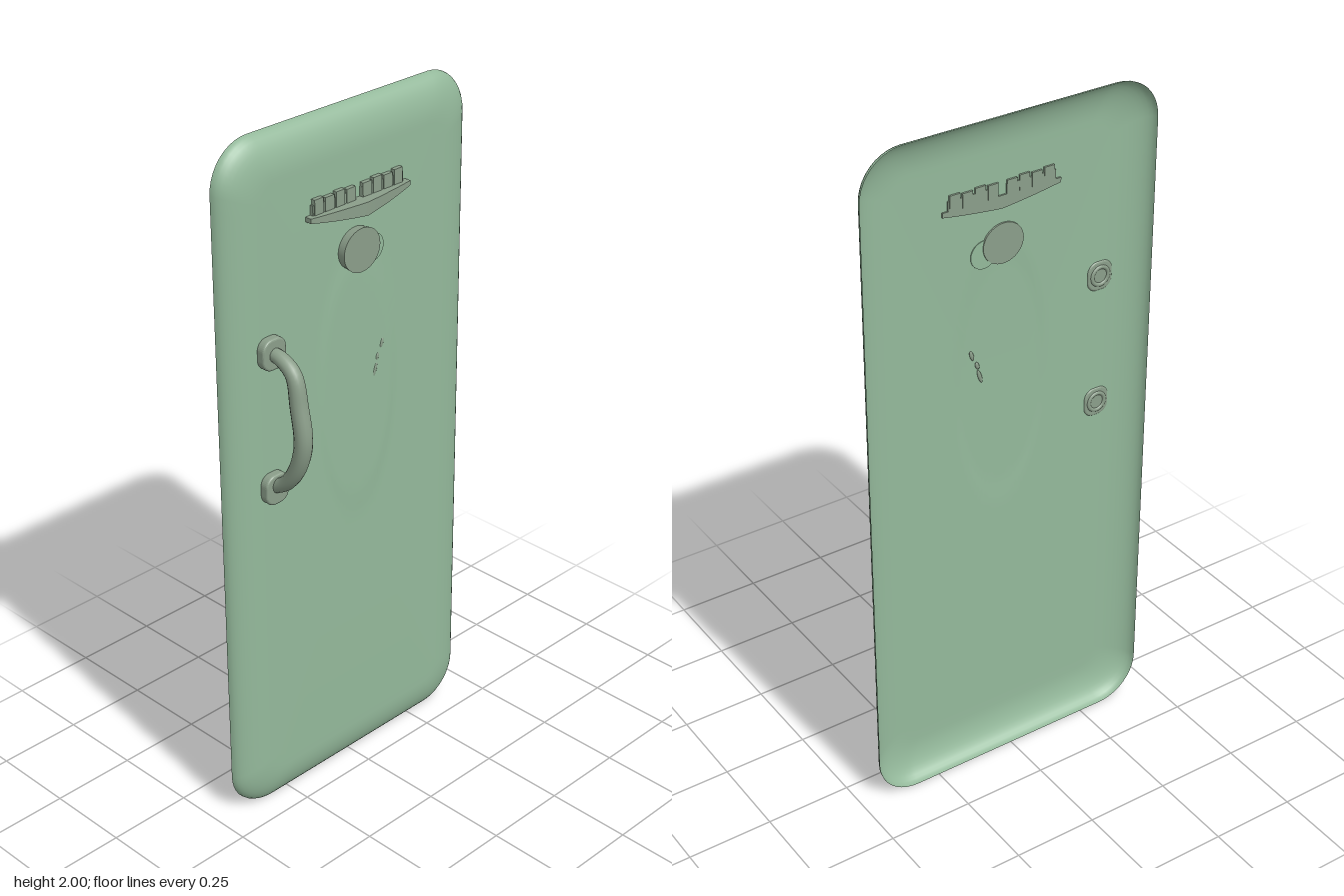
import * as THREE from 'three';

const doorGreen = new THREE.MeshStandardMaterial({ color: 0x94b99b, side: THREE.DoubleSide });
doorGreen.name = 'door green';
const trimGrey = new THREE.MeshStandardMaterial({ color: 0x8b9e8a });
trimGrey.name = 'trim grey green';

function add(parent, name, geometry, material, x = 0, y = 0, z = 0) {
  const mesh = new THREE.Mesh(geometry, material);
  mesh.name = name;
  mesh.position.set(x, y, z);
  parent.add(mesh);
  return mesh;
}

// Rounded rectangle outline, counter-clockwise, always the same point count
function outline(hw, hh, r) {
  const pts = [], arc = 10;
  const corners = [[1, 1], [-1, 1], [-1, -1], [1, -1]];
  corners.forEach(([sx, sy], k) => {
    const cx = sx * (hw - r), cy = sy * (hh - r);
    for (let i = 0; i <= arc; i++) {
      const a = (k + i / arc) * Math.PI / 2;
      pts.push([cx + r * Math.cos(a), cy + r * Math.sin(a)]);
    }
    // subdivide the straight edge to the next corner
    const [nx, ny] = corners[(k + 1) % 4];
    const a = (k + 1) * Math.PI / 2;
    const end = [nx * (hw - r) + r * Math.cos(a), ny * (hh - r) + r * Math.sin(a)];
    const start = pts[pts.length - 1], n = k % 2 ? 44 : 20;
    for (let i = 1; i < n; i++) {
      const t = i / n;
      pts.push([start[0] + (end[0] - start[0]) * t, start[1] + (end[1] - start[1]) * t]);
    }
  });
  return pts;
}

// Faint raised oval pressed into the front panel
function relief(x, y) {
  const r = Math.hypot(x / 0.145, (y - 0.23) / 0.39);
  return 0.003 * (1 - THREE.MathUtils.smoothstep(r, 0.86, 1.04));
}

// Hollow door skin: curved rim rings, then rings closing the front panel
function doorGeometry() {
  const pos = [], index = [], rings = [];
  const rim = 10, cap = 30, inset = 0.115, depth = 0.055;
  for (let i = 0; i <= rim; i++) {
    const a = i / rim * Math.PI / 2;
    const d = inset * (1 - Math.cos(a));
    const z = -0.1 + depth * Math.sin(a);
    rings.push(outline(0.445 - d, 1 - d, 0.125 - d * 0.6).map(([x, y]) => [x, y, z]));
  }
  const last = rings[rim];
  for (let i = 1; i <= cap; i++) {
    const s = 1 - i / cap;
    const z = -0.1 + depth + 0.003 * (1 - s * s);
    rings.push(last.map(([x, y]) => [x * s, y * s, z + relief(x * s, y * s)]));
  }
  const n = last.length;
  rings.forEach(ring => ring.forEach(([x, y, z]) => pos.push(x, y + 1, z)));
  for (let i = 0; i < rings.length - 1; i++) {
    for (let j = 0; j < n; j++) {
      const k = (j + 1) % n;
      const a = i * n + j, b = i * n + k, c = b + n, d = a + n;
      index.push(a, b, c);
      if (i < rings.length - 2) index.push(a, c, d);
    }
  }
  const g = new THREE.BufferGeometry();
  g.setAttribute('position', new THREE.Float32BufferAttribute(pos, 3));
  g.setIndex(index);
  g.computeVertexNormals();
  return g;
}

// Tube that is thickest at the middle of its path
function gripGeometry(points) {
  const curve = new THREE.CatmullRomCurve3(points.map(([y, z]) => new THREE.Vector3(0, y, z)));
  const n = 48, radial = 16;
  const g = new THREE.TubeGeometry(curve, n, 0.025, radial);
  const p = g.attributes.position, v = new THREE.Vector3();
  for (let i = 0; i <= n; i++) {
    const c = curve.getPointAt(i / n);
    const s = 0.76 + 0.24 * Math.sin(Math.PI * i / n);
    for (let j = 0; j <= radial; j++) {
      const k = i * (radial + 1) + j;
      v.fromBufferAttribute(p, k).sub(c).multiplyScalar(s).add(c);
      p.setXYZ(k, v.x, v.y, v.z);
    }
  }
  g.computeVertexNormals();
  return g;
}

// Rounded mounting pad with a softened front edge
function padGeometry() {
  const shape = new THREE.Shape(outline(0.034, 0.038, 0.025).map(([x, y]) => new THREE.Vector2(x, y)));
  return new THREE.ExtrudeGeometry(shape, {
    depth: 0.016, bevelEnabled: true, bevelThickness: 0.006, bevelSize: 0.006, bevelSegments: 3,
  });
}

// Badge bar: a shallow wing deepest at its centre
function wingGeometry() {
  const g = new THREE.BoxGeometry(0.36, 1, 1, 32, 1, 1);
  const p = g.attributes.position;
  for (let i = 0; i < p.count; i++) {
    const x = p.getX(i), t = 1 - Math.abs(x) / 0.18;
    const soft = t * (1.3 - 0.3 * t);
    p.setY(i, p.getY(i) > 0 ? 1.757 : 1.744 - 0.024 * soft);
    p.setZ(i, p.getZ(i) > 0 ? -0.024 + 0.024 * soft : -0.049);
  }
  g.computeVertexNormals();
  return g;
}

export function createModel() {
  const model = new THREE.Group();
  model.name = 'door';
  add(model, 'doorSkin', doorGeometry(), doorGreen);

  // Pull handle
  const handle = new THREE.Group();
  handle.name = 'handle';
  handle.position.x = -0.315;
  model.add(handle);
  add(handle, 'grip', gripGeometry([
    [1.43, -0.035], [1.425, 0.0], [1.395, 0.045], [1.31, 0.064],
    [1.21, 0.077], [1.13, 0.055], [1.07, 0.012], [1.04, -0.035],
  ]), trimGrey);
  for (const y of [1.43, 1.037]) {
    add(handle, 'mountingPad', padGeometry(), trimGrey, 0, y, -0.042);
    // fastener seat on the inner side
    add(handle, 'fastener', new THREE.TorusGeometry(0.026, 0.007, 8, 24), trimGrey, 0, y, -0.045);
  }

  // Lock knob and its escutcheon
  const knob = add(model, 'knob', new THREE.CylinderGeometry(0.066, 0.062, 0.03, 40), trimGrey, -0.004, 1.62, -0.033);
  knob.rotation.x = Math.PI / 2;
  knob.scale.z = 0.93;
  const plate = add(model, 'knobPlate', new THREE.CylinderGeometry(0.04, 0.04, 0.008, 28), doorGreen, 0.055, 1.603, -0.042);
  plate.rotation.x = Math.PI / 2;

  // Badge: wing with two rows of plain raised blocks
  const badge = new THREE.Group();
  badge.name = 'badge';
  model.add(badge);
  add(badge, 'badgeWing', wingGeometry(), trimGrey);
  for (const side of [-1, 1]) {
    add(badge, 'badgeStrip', new THREE.BoxGeometry(0.15, 0.03, 0.014), trimGrey, side * 0.088, 1.769, -0.042);
    for (let i = 0; i < 4; i++) {
      const h = 0.04 + (i % 2) * 0.004;
      add(badge, 'badgeBlock', new THREE.BoxGeometry(0.031, h, 0.018), trimGrey,
        side * (0.029 + i * 0.038), 1.755 + h / 2, -0.041);
    }
  }

  // Small raised scuffs beside the oval
  for (const [x, y, h] of [[0.091, 1.315, 0.016], [0.074, 1.28, 0.012], [0.066, 1.245, 0.022]]) {
    const chip = add(model, 'scuff', new THREE.SphereGeometry(1, 12, 8), trimGrey, x, y, -0.041);
    chip.scale.set(0.006, h, 0.004);
    chip.rotation.z = -0.3;
  }
  return model;
}
